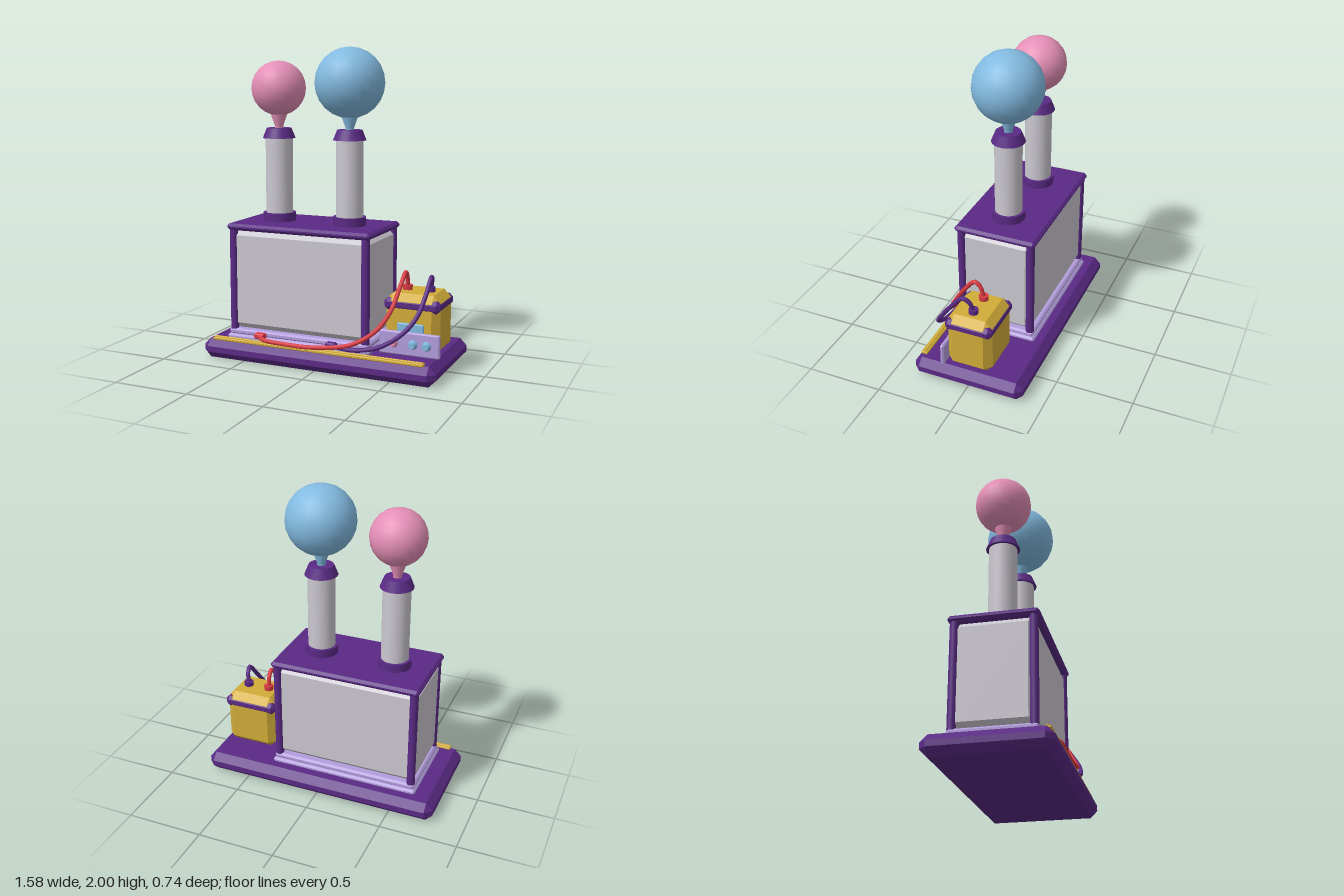
import * as THREE from 'three';
import { ConvexGeometry } from 'three/addons/geometries/ConvexGeometry.js';

const makeMaterial = (name, color) => {
  const m = new THREE.MeshStandardMaterial({ color });
  m.name = name;
  return m;
};

// Box with every edge cut off by b
function chamferBox(w, h, d, b) {
  const pts = [];
  for (const sx of [-1, 1]) for (const sy of [-1, 1]) for (const sz of [-1, 1]) {
    const x = w / 2, y = h / 2, z = d / 2;
    pts.push(new THREE.Vector3(sx * x, sy * (y - b), sz * (z - b)));
    pts.push(new THREE.Vector3(sx * (x - b), sy * y, sz * (z - b)));
    pts.push(new THREE.Vector3(sx * (x - b), sy * (y - b), sz * z));
  }
  return new ConvexGeometry(pts);
}

export function createModel() {
  const group = new THREE.Group();
  group.name = 'bulbMachine';

  const purple = makeMaterial('purple', 0x5a2a85);
  const grey = makeMaterial('panelGrey', 0xcbc8d0);
  const lavender = makeMaterial('lavender', 0xb29ddc);
  const yellow = makeMaterial('yellow', 0xd2ac38);
  const red = makeMaterial('red', 0xd93a42);
  const pink = makeMaterial('pink', 0xe48fb6);
  const blue = makeMaterial('blue', 0x82bae0);

  const add = (name, geometry, material, x = 0, y = 0, z = 0) => {
    const mesh = new THREE.Mesh(geometry, material);
    mesh.name = name;
    mesh.position.set(x, y, z);
    group.add(mesh);
    return mesh;
  };
  // Chamfered box given by its extents
  const block = (name, material, [x0, x1], [y0, y1], [z0, z1], b) =>
    add(name, chamferBox(x1 - x0, y1 - y0, z1 - z0, b), material,
      (x0 + x1) / 2, (y0 + y1) / 2, (z0 + z1) / 2);
  // Upright cylinder or cone between two heights
  const drum = (name, material, rTop, rBottom, y0, y1, x, z = 0, sides = 24) =>
    add(name, new THREE.CylinderGeometry(rTop, rBottom, y1 - y0, sides), material, x, (y0 + y1) / 2, z);

  // Base and cabinet
  block('base', purple, [-0.79, 0.79], [0, 0.127], [-0.37, 0.37], 0.045);
  block('plinth', lavender, [-0.65, 0.34], [0.12, 0.155], [-0.275, 0.275], 0.012);
  block('plinthStep', lavender, [-0.64, 0.33], [0.15, 0.19], [-0.262, 0.262], 0.012);
  block('cabinet', grey, [-0.63, 0.32], [0.185, 0.845], [-0.245, 0.245], 0.042);
  block('cabinetLid', purple, [-0.648, 0.342], [0.838, 0.88], [-0.272, 0.272], 0.016);
  for (const x of [-0.612, 0.305]) for (const z of [-0.235, 0.235]) {
    drum('cornerPost', purple, 0.027, 0.027, 0.185, 0.845, x, z, 12);
  }

  // Columns with bulbs
  const bulbs = [
    { x: -0.4, y: 1.74, r: 0.176, material: pink },
    { x: 0.098, y: 1.778, r: 0.222, material: blue },
  ];
  for (const { x, y, r, material } of bulbs) {
    drum('columnFoot', purple, 0.106, 0.106, 0.875, 0.935, x);
    drum('column', grey, 0.088, 0.088, 0.93, 1.43, x);
    drum('columnCap', purple, 0.08, 0.106, 1.42, 1.485, x);
    const neck = [[0.028, 1.47], [0.028, 1.5], [0.053, 1.57], [0.056, 1.6]];
    add('bulbNeck', new THREE.LatheGeometry(neck.map(p => new THREE.Vector2(...p)), 20), material, x);
    add('bulb', new THREE.SphereGeometry(r, 24, 12), material, x, y);
  }

  // Battery
  block('batteryCase', yellow, [0.395, 0.745], [0.122, 0.5], [-0.15, 0.15], 0.045);
  block('batteryBand', purple, [0.39, 0.75], [0.395, 0.47], [-0.155, 0.155], 0.022);
  drum('redTerminal', red, 0.031, 0.031, 0.49, 0.53, 0.495, 0, 12);
  drum('purpleTerminal', purple, 0.031, 0.031, 0.49, 0.53, 0.645, 0, 12);

  // Control panel with screen and knobs
  block('screen', blue, [0.485, 0.655], [0.2, 0.325], [0.14, 0.166], 0.005);
  block('controlPanel', lavender, [0.375, 0.765], [0.127, 0.275], [0.157, 0.183], 0.008);
  for (const [x, material] of [[0.47, pink], [0.595, blue], [0.683, blue]]) {
    const knob = add('knob', new THREE.CylinderGeometry(0.02, 0.032, 0.032, 8), material, x, 0.202, 0.196);
    knob.rotation.x = Math.PI / 2;
  }

  // Front rail
  block('rail', yellow, [-0.715, 0.715], [0.122, 0.14], [0.302, 0.345], 0.004);
  block('railRidge', yellow, [-0.715, 0.715], [0.135, 0.147], [0.314, 0.33], 0.004);

  // Clips and cables
  block('redClip', red, [-0.437, -0.363], [0.152, 0.187], [0.265, 0.312], 0.008);
  block('purpleClip', purple, [0.063, 0.133], [0.152, 0.187], [0.265, 0.312], 0.008);
  const cable = (name, material, points) => {
    const curve = new THREE.CatmullRomCurve3(points.map(p => new THREE.Vector3(...p)));
    add(name, new THREE.TubeGeometry(curve, 64, 0.014, 10), material);
  };
  cable('redCable', red, [
    [0.495, 0.51, 0], [0.498, 0.59, 0.02], [0.5, 0.62, 0.055], [0.49, 0.54, 0.13], [0.46, 0.4, 0.22],
    [0.39, 0.29, 0.28], [0.25, 0.2, 0.325], [0.01, 0.155, 0.335], [-0.2, 0.15, 0.335],
    [-0.36, 0.16, 0.33], [-0.4, 0.168, 0.3],
  ]);
  cable('purpleCable', purple, [
    [0.645, 0.51, 0], [0.66, 0.58, 0.02], [0.668, 0.605, 0.06], [0.663, 0.51, 0.15], [0.635, 0.39, 0.235],
    [0.565, 0.295, 0.29], [0.43, 0.205, 0.315], [0.27, 0.165, 0.318], [0.14, 0.168, 0.31],
    [0.1, 0.17, 0.295],
  ]);

  return group;
}
